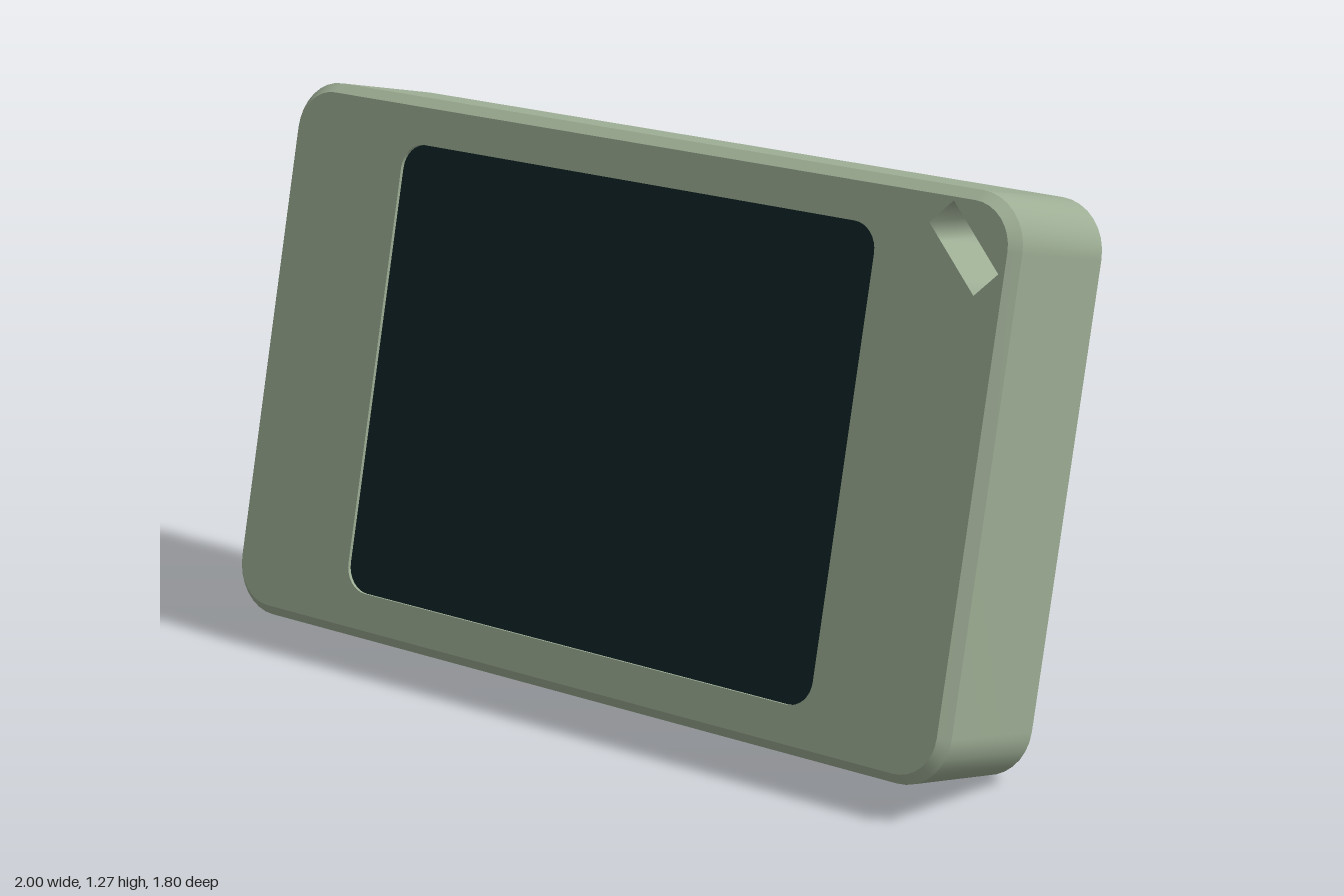
import * as THREE from 'three';

const W = 1, H = 0.615, BEVEL = 0.116, CX = W - BEVEL, CY = H - BEVEL; // half sizes of body and flat back
const FRONT = 0.898, BACK = 0.457, LIP = 0.022;
const TILT = THREE.MathUtils.degToRad(13.5);

const v2 = (x, y) => new THREE.Vector2(x, y);
const v3 = (x, y, z) => new THREE.Vector3(x, y, z);

// Height of the bevelled back surface at any point
const backZ = (x, y) => BACK + Math.hypot(Math.max(0, Math.abs(x) - CX), Math.max(0, Math.abs(y) - CY));

// Rounded rectangle outline, counter-clockwise
function roundRect(w, h, r, n = 8) {
  const pts = [];
  [[1, 1], [-1, 1], [-1, -1], [1, -1]].forEach(([sx, sy], q) => {
    for (let i = 0; i <= n; i++) {
      const a = (q + i / n) * Math.PI / 2;
      pts.push(v2(sx * (w - r) + r * Math.cos(a), sy * (h - r) + r * Math.sin(a)));
    }
  });
  return pts;
}

const circle = (x, y, r, n = 24) => Array.from({ length: n }, (_, i) =>
  v2(x + r * Math.cos(i / n * 2 * Math.PI), y + r * Math.sin(i / n * 2 * Math.PI)));

const atZ = (pts, z) => pts.map(p => v3(p.x, p.y, typeof z === 'function' ? z(p.x, p.y) : z));

// Surface between two rows of points
function strip(a, b, closed) {
  const n = a.length, idx = [];
  for (let i = 0; i < (closed ? n : n - 1); i++) {
    const j = (i + 1) % n;
    idx.push(i, j, n + j, i, n + j, n + i);
  }
  const g = new THREE.BufferGeometry().setFromPoints([...a, ...b]);
  g.setIndex(idx);
  g.computeVertexNormals();
  return g;
}

// Flat panel, with holes, laid on the back surface
function backPanel(pts, holes = []) {
  const s = new THREE.Shape(pts);
  s.holes = holes.map(h => new THREE.Path(h));
  const g = new THREE.ShapeGeometry(s), p = g.attributes.position;
  for (let i = 0; i < p.count; i++) p.setZ(i, backZ(p.getX(i), p.getY(i)));
  g.index.array.reverse();
  g.computeVertexNormals();
  return g;
}

export function createModel() {
  const shell = new THREE.MeshStandardMaterial({ color: 0x9dad94, side: THREE.DoubleSide });
  shell.name = 'sageShell';
  const dark = new THREE.MeshStandardMaterial({ color: 0x0d2426 });
  dark.name = 'darkTeal';
  const grey = new THREE.MeshStandardMaterial({ color: 0xd2cdcd });
  grey.name = 'lightGrey';

  const model = new THREE.Group();
  model.name = 'tabletOnPenStand';
  const body = new THREE.Group();
  body.name = 'body';
  body.rotation.x = -TILT;
  body.position.set(0, 0.482 * Math.cos(TILT), -0.482 * Math.sin(TILT));
  model.add(body);
  const add = (parent, name, geo, mat) => {
    const m = new THREE.Mesh(geo, mat);
    m.name = name;
    parent.add(m);
    return m;
  };

  // Diagonal strap slot through the corner; extra points lie on the back creases
  const A = v2(0.78, 0.533), B = v2(0.832, 0.585), C = v2(0.964, 0.453), D = v2(0.912, 0.401);
  const E = v2(CX, 1.417 - CX), F = v2(1.417 - CY, CY), G = v2(CX, 1.313 - CX), K = v2(1.313 - CY, CY);
  const slot = [A, B, E, F, C, D, G, K];
  add(body, 'strapSlot', strip(atZ(slot, FRONT), atZ(slot, backZ), true), shell);

  // Front face with openings for screen and slot
  const screen = roundRect(0.655, 0.51, 0.06);
  const rim = roundRect(W - LIP, H - LIP, BEVEL - LIP), outline = roundRect(W, H, BEVEL);
  const face = new THREE.Shape(rim);
  face.holes.push(new THREE.Path(screen), new THREE.Path([A, B, C, D]));
  add(body, 'frontFace', new THREE.ShapeGeometry(face).translate(0, 0, FRONT), shell);
  add(body, 'screenRim', strip(atZ(screen, FRONT), atZ(screen, FRONT - 0.01), true), shell);
  add(body, 'screen', new THREE.ShapeGeometry(new THREE.Shape(screen)).translate(0, 0, FRONT - 0.008), dark);

  // Front lip and side wall
  const lipRow = atZ(outline, FRONT - LIP);
  add(body, 'frontLip', strip(lipRow, atZ(rim, FRONT), true), shell);
  add(body, 'sideWall', strip(atZ(outline, BACK + BEVEL), lipRow, true), shell);

  // Back face and bevels, notched for the pen groove and strap slot
  const GL = -0.8, GR = 0.775, LOW = 0.469, HIGH = 0.569;
  const socket = circle(-0.125, 0, 0.058);
  add(body, 'backFace', backPanel([v2(-CX, -CY), v2(CX, -CY), G, K, v2(GR, CY), v2(GR, LOW),
    v2(GL, LOW), v2(GL, CY), v2(-CX, CY)], [socket]), shell);
  add(body, 'topBevel', backPanel([v2(-CX, CY), v2(GL, CY), v2(GL, HIGH), v2(GR, HIGH), v2(GR, CY),
    K, A, B, E, v2(CX, H), v2(-CX, H)]), shell);
  add(body, 'bottomBevel', backPanel([v2(-CX, -H), v2(CX, -H), v2(CX, -CY), v2(-CX, -CY)]), shell);
  add(body, 'rightBevel', backPanel([v2(-W, -CY), v2(-CX, -CY), v2(-CX, CY), v2(-W, CY)]), shell);
  add(body, 'leftBevel', backPanel([v2(CX, -CY), v2(W, -CY), v2(W, CY), F, C, D, G]), shell);

  // Conical back corners
  for (let q = 0; q < 4; q++) {
    const arc = outline.slice(q * 9, q * 9 + 9);
    const inner = arc.map((p, i) => q === 0 ? F.clone().lerp(E, i / 8)
      : v2(Math.sign(p.x) * CX, Math.sign(p.y) * CY));
    add(body, 'backCorner', strip(atZ(inner, backZ), atZ(arc, backZ), false), shell);
  }

  // Pen groove: half-round channel with end walls
  const depth = HIGH - CY, len = Math.hypot(HIGH - LOW, depth);
  const uy = (HIGH - LOW) / len, uz = depth / len;
  const channel = x => Array.from({ length: 17 }, (_, i) => {
    const a = i / 16 * Math.PI, c = -Math.cos(a) * len / 2, s = Math.sin(a) * len / 2;
    return v3(x, (LOW + HIGH) / 2 + c * uy - s * uz, BACK + depth / 2 + c * uz + s * uy);
  });
  add(body, 'penGroove', strip(channel(GL), channel(GR), false), shell);
  for (const x of [GL, GR]) {
    const row = channel(x);
    add(body, 'grooveEnd', strip(row, row.map(() => v3(x, CY, BACK)), false), shell);
  }

  // Spare pen socket
  add(body, 'socketWall', strip(atZ(socket, BACK), atZ(socket, BACK + 0.16), true), shell);
  add(body, 'socketFloor', new THREE.ShapeGeometry(new THREE.Shape(socket)).translate(0, 0, BACK + 0.16), shell);

  // Pen propping up the body
  const pen = new THREE.Group();
  pen.name = 'pen';
  pen.position.set(0, 0.021, -0.887);
  pen.rotation.x = THREE.MathUtils.degToRad(60.6);
  model.add(pen);
  add(pen, 'penTip', new THREE.CylinderGeometry(0.053, 0.024, 0.128, 24).translate(0, 0.064, 0), grey);
  add(pen, 'penBarrel', new THREE.CylinderGeometry(0.055, 0.055, 1.32, 24).translate(0, 0.788, 0), dark);
  return model;
}
